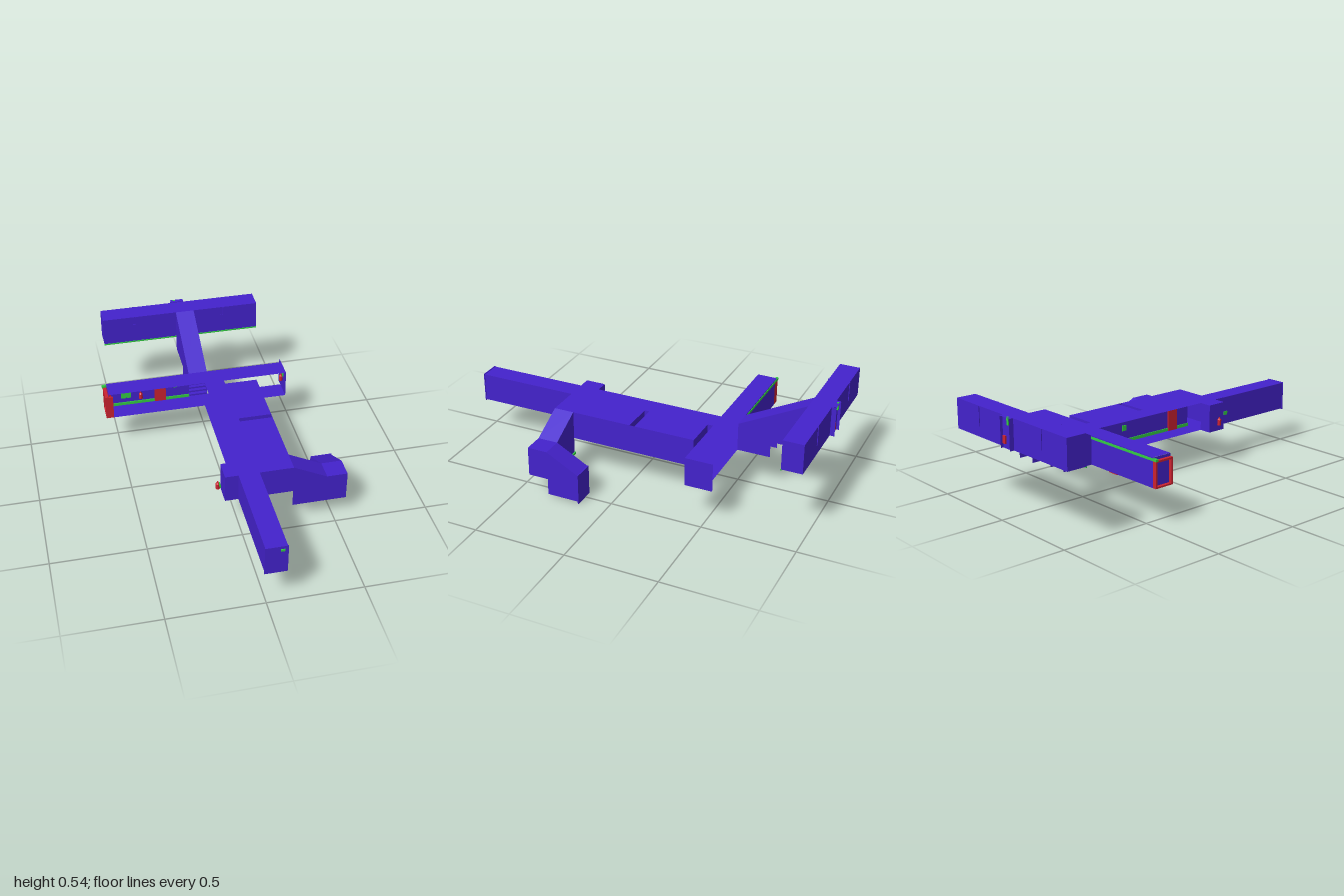
import * as THREE from 'three';

const PURPLE = 0x4422cc, GREEN = 0x33cc44, RED = 0xcc2230;
const mats = {};
const mat = c => (mats[c] ??= new THREE.MeshStandardMaterial({ color: c, side: THREE.DoubleSide, flatShading: true }));

export function createModel() {
  const root = new THREE.Group();
  const add = (name, geo, color = PURPLE) => {
    const m = new THREE.Mesh(geo, mat(color));
    m.name = name;
    root.add(m);
    return m;
  };
  // convex flat panel from its corners
  const panel = (name, pts, color) => {
    const g = new THREE.BufferGeometry().setFromPoints(pts.map(p => new THREE.Vector3(...p)));
    const idx = [];
    for (let i = 1; i < pts.length - 1; i++) idx.push(0, i, i + 1);
    g.setIndex(idx);
    g.computeVertexNormals();
    return add(name, g, color);
  };
  const wallX = (name, x, z0, z1, y0, y1, c) => panel(name, [[x, y0, z0], [x, y0, z1], [x, y1, z1], [x, y1, z0]], c);
  const wallZ = (name, z, x0, x1, y0, y1, c) => panel(name, [[x0, y0, z], [x1, y0, z], [x1, y1, z], [x0, y1, z]], c);
  const slab = (name, y, x0, x1, z0, z1, c) => panel(name, [[x0, y, z0], [x0, y, z1], [x1, y, z1], [x1, y, z0]], c);
  const box = (name, x0, x1, y0, y1, z0, z1, c) =>
    add(name, new THREE.BoxGeometry(x1 - x0, y1 - y0, z1 - z0), c)
      .position.set((x0 + x1) / 2, (y0 + y1) / 2, (z0 + z1) / 2);
  // wall with a free outline, in the xy plane or (alongZ) in the zy plane
  const profileWall = (name, at, pts, alongZ) => {
    const g = new THREE.ShapeGeometry(new THREE.Shape(pts.map(p => new THREE.Vector2(...p))));
    if (alongZ) g.rotateY(-Math.PI / 2);
    g.translate(alongZ ? at : 0, 0, alongZ ? 0 : at);
    add(name, g);
  };
  // folded flight of treads and risers; s runs along the flight, w across it
  const stairs = (name, n, s0, s1, y0, y1, w0, w1, alongZ) => {
    const pt = (s, y, w) => (alongZ ? [w, y, s] : [s, y, w]);
    const pos = [], idx = [];
    for (let i = 0; i < n; i++) {
      const a = s0 + (s1 - s0) * i / n, b = s0 + (s1 - s0) * (i + 1) / n;
      const lo = y0 + (y1 - y0) * i / n, hi = y0 + (y1 - y0) * (i + 1) / n;
      for (const [s, y] of [[a, lo], [a, hi], [a, hi], [b, hi]]) pos.push(...pt(s, y, w0), ...pt(s, y, w1));
      for (const k of [i * 8, i * 8 + 4]) idx.push(k, k + 1, k + 3, k, k + 3, k + 2);
    }
    const g = new THREE.BufferGeometry();
    g.setAttribute('position', new THREE.Float32BufferAttribute(pos, 3));
    g.setIndex(idx);
    g.computeVertexNormals();
    add(name, g);
  };
  const extinguisher = (x, y, z) => {
    const profile = [[0, 0], [0.011, 0], [0.011, 0.03], [0.005, 0.038], [0.003, 0.045], [0, 0.045]];
    add('extinguisher', new THREE.LatheGeometry(profile.map(p => new THREE.Vector2(...p)), 10), RED).position.set(x, y, z);
  };
  const F = 0.195, C = 0.35; // main floor and ceiling heights

  // front corridor with its end wall
  wallX('frontCorridorRightWall', -0.01, 0.44, 0.99, F, C);
  wallX('frontCorridorLeftWall', 0.1, 0.44, 0.99, F, C);
  slab('frontCorridorRoof', C, -0.01, 0.1, 0.44, 0.99);
  slab('frontCorridorFloor', F, -0.01, 0.1, 0.44, 0.99);
  box('frontEndWall', -0.013, 0.103, 0.19, 0.353, 0.99, 0.995, PURPLE);
  box('frontEndSign', 0.065, 0.085, 0.325, 0.337, 0.995, 1.0, GREEN);

  // central corridor, open along its right side, with an inner wall
  slab('centralRoof', C, -0.01, 0.1, -0.39, 0.44);
  slab('centralFloor', F, -0.01, 0.28, -0.36, 0.44);
  slab('centralFloorLink', F, -0.01, 0.1, -0.39, -0.36);
  wallX('centralInnerWall', 0.1, -0.39, 0.33, F, C);
  box('centralSkirting', 0.094, 0.099, F, 0.212, -0.36, 0.33, GREEN);
  box('centralCornice', 0.094, 0.099, 0.335, 0.345, -0.36, 0.33, GREEN);
  box('centralDoor', 0.092, 0.099, F, 0.325, 0.18, 0.245, RED);
  box('wallNotice', 0.094, 0.099, 0.26, 0.29, -0.15, -0.12, GREEN);

  // two side rooms with a narrow gap between them
  for (const [z0, z1] of [[-0.36, -0.028], [0, 0.44]]) {
    slab('sideRoomRoof', C, 0.1, 0.28, z0, z1);
    wallX('sideRoomOuterWall', 0.28, z0, Math.min(z1, 0.33), F, C);
  }
  for (const z of [-0.36, -0.028, 0]) wallZ('sideRoomCrossWall', z, 0.1, 0.28, F, C);
  wallX('gapOuterWall', 0.28, -0.028, 0, F, C);
  wallZ('sideRoomFrontWall', 0.44, 0.1, 0.28, F, C);

  // small alcove on the right side
  wallX('alcoveEndWall', -0.08, 0.33, 0.44, F, C);
  slab('alcoveRoof', C, -0.08, -0.01, 0.33, 0.44);
  slab('alcoveFloor', F, -0.08, -0.01, 0.33, 0.44);
  for (const z of [0.33, 0.44]) wallZ('alcoveSideWall', z, -0.08, -0.01, F, C);
  extinguisher(-0.105, 0.235, 0.38);
  box('alcoveNotice', -0.106, -0.102, 0.285, 0.305, 0.415, 0.44, GREEN);

  // stairs going down on the left, with a landing
  profileWall('sideStairFrontWall', 0.44, [[0.28, 0.1], [0.57, 0.1], [0.57, 0.26], [0.46, 0.26], [0.28, C]]);
  profileWall('sideStairBackWall', 0.33, [[0.28, 0.1], [0.46, 0.1], [0.46, 0.26], [0.28, C]]);
  panel('sideStairRoof', [[0.28, C, 0.33], [0.28, C, 0.44], [0.46, 0.26, 0.44], [0.46, 0.26, 0.33]]);
  stairs('sideStairs', 10, 0.46, 0.28, 0.1, F, 0.33, 0.44, false);
  box('sideStairTrim', 0.28, 0.46, 0.1, 0.112, 0.322, 0.329, GREEN);
  slab('landingRoof', 0.26, 0.46, 0.57, 0.33, 0.44);
  slab('landingFloor', 0.1, 0.46, 0.57, 0.33, 0.44);
  wallX('landingWall', 0.57, 0.33, 0.44, 0.1, 0.26);

  // lower flight, turning to the back
  for (const x of [0.46, 0.57])
    profileWall('lowerFlightWall', x, [[0.33, 0.01], [0.33, 0.26], [0.155, 0.165], [0.155, 0.01]], true);
  panel('lowerFlightRoof', [[0.46, 0.26, 0.33], [0.57, 0.26, 0.33], [0.57, 0.165, 0.155], [0.46, 0.165, 0.155]]);
  stairs('lowerStairs', 10, 0.155, 0.33, 0.01, 0.1, 0.46, 0.57, true);
  box('lowerEndWall', 0.457, 0.575, 0, 0.167, 0.15, 0.155, PURPLE);

  // cross corridor: closed at the back on the right half, open on the left half
  slab('crossRoof', C, -0.55, 0.46, -0.5, -0.39);
  slab('crossFloor', F, -0.55, 0.46, -0.5, -0.39);
  wallZ('crossBackWall', -0.5, -0.55, -0.08, F, C);
  wallX('crossEndWall', 0.46, -0.54, -0.39, F, C);
  box('crossSkirting', -0.55, -0.08, F, 0.212, -0.499, -0.494, GREEN);
  box('crossCornice', -0.575, -0.08, 0.332, 0.345, -0.503, -0.488, GREEN);
  for (const x of [-0.47, -0.441]) box('windowPane', x, x + 0.027, 0.24, 0.325, -0.499, -0.495, GREEN);
  box('largeNotice', -0.335, -0.305, 0.275, 0.305, -0.499, -0.495, GREEN);
  box('smallNotice', -0.17, -0.15, 0.272, 0.287, -0.499, -0.495, GREEN);
  extinguisher(-0.36, 0.235, -0.485);
  extinguisher(0.447, 0.262, -0.45);
  box('endNotice', 0.453, 0.459, 0.29, 0.312, -0.47, -0.44, GREEN);

  // door with clipped top corners
  const door = new THREE.Shape([[-0.28, 0.19], [-0.215, 0.19], [-0.215, 0.315], [-0.228, 0.33], [-0.267, 0.33], [-0.28, 0.315]]
    .map(p => new THREE.Vector2(...p)));
  add('crossDoor', new THREE.ExtrudeGeometry(door, { depth: 0.006, bevelEnabled: false }), RED).position.z = -0.498;

  // red frame around the right end of the cross corridor
  for (const z of [-0.5, -0.4]) box('endFrameJamb', -0.57, -0.528, F, 0.332, z, z + 0.01, RED);
  box('endFrameHead', -0.57, -0.55, 0.325, 0.335, -0.5, -0.39, RED);
  box('endFrameSill', -0.57, -0.55, F, 0.203, -0.5, -0.39, RED);
  wallX('crossRightEndWall', -0.552, -0.5, -0.39, F, C);

  // stairs going up to the rear corridor
  for (const x of [-0.08, 0.025])
    profileWall('upperStairWall', x, [[-0.5, F], [-0.68, F], [-0.68, 0.285], [-0.865, 0.285], [-0.865, 0.535], [-0.5, C]], true);
  panel('upperStairRoof', [[-0.08, C, -0.5], [0.025, C, -0.5], [0.025, 0.535, -0.865], [-0.08, 0.535, -0.865]]);
  stairs('upperStairs', 18, -0.5, -0.865, F, 0.375, -0.08, 0.025, true);

  // rear corridor, raised
  slab('rearRoof', 0.535, -0.505, 0.4, -0.975, -0.865);
  slab('rearFloor', 0.375, -0.505, 0.4, -0.975, -0.865);
  for (const x of [-0.505, 0.4]) wallX('rearEndWall', x, -0.975, -0.865, 0.375, 0.535);
  for (const [x0, x1] of [[-0.505, -0.08], [0.025, 0.4]]) {
    wallZ('rearFrontWall', -0.865, x0, x1, 0.375, 0.535);
    box('rearTrim', x0, x1, 0.369, 0.376, -0.867, -0.862, GREEN);
  }
  for (const [x0, x1] of [[-0.505, -0.09], [-0.015, 0.4]]) wallZ('rearBackWall', -0.975, x0, x1, 0.375, 0.535);
  // wall conduits
  for (const x of [-0.315, 0.2]) {
    box('conduit', x - 0.002, x + 0.002, 0.485, 0.535, -0.865, -0.861, PURPLE);
    box('conduitFoot', x - 0.018, x + 0.002, 0.482, 0.486, -0.865, -0.861, PURPLE);
    box('backConduit', x - 0.002, x + 0.002, 0.43, 0.535, -0.979, -0.975, PURPLE);
  }

  // niche in the rear wall
  for (const x of [-0.09, -0.015]) wallX('nicheSideWall', x, -1, -0.975, 0.375, 0.535);
  slab('nicheRoof', 0.538, -0.09, -0.015, -1, -0.975);
  wallZ('nicheBackWall', -0.985, -0.09, -0.015, 0.375, 0.535);
  box('nicheSign', -0.075, -0.062, 0.5, 0.54, -0.995, -0.986, GREEN);
  box('nicheCabinet', -0.045, -0.025, 0.4, 0.44, -0.995, -0.986, RED);
  return root;
}
